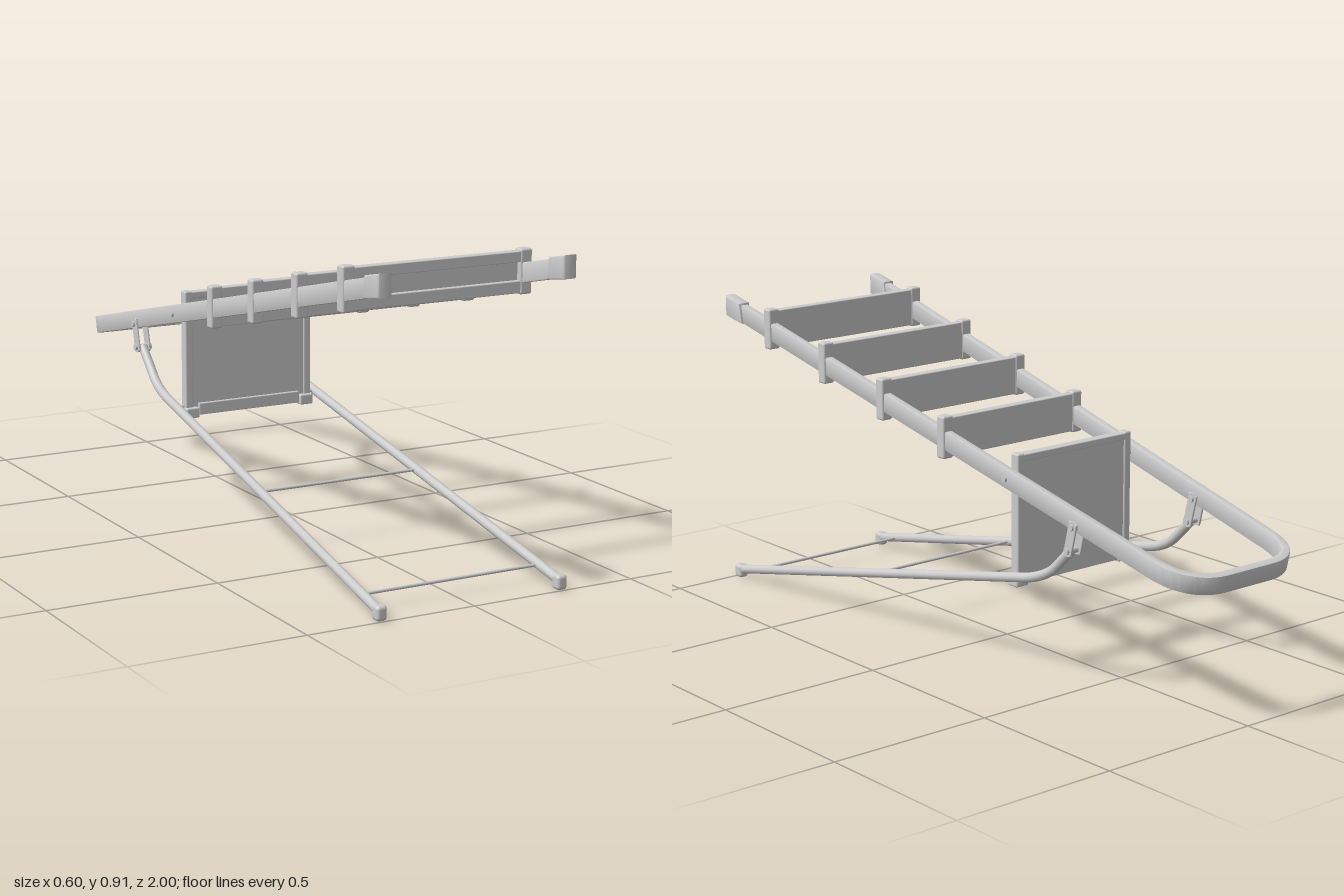
import * as THREE from 'three';
import { toCreasedNormals } from 'three/addons/utils/BufferGeometryUtils.js';
import { RoundedBoxGeometry } from 'three/addons/geometries/RoundedBoxGeometry.js';

const TILT = 0.2293; // slope of the main frame
const MID_Y = 0.645; // frame height at z = 0
const material = new THREE.MeshStandardMaterial({ color: 0xcccccc });
const railX = (z) => 0.2438 + 0.0362 * z;
const railY = (z) => MID_Y + z * Math.tan(TILT);

function add(parent, name, geometry, x = 0, y = 0, z = 0) {
  const mesh = new THREE.Mesh(geometry, material);
  mesh.name = name;
  mesh.position.set(x, y, z);
  parent.add(mesh);
  return mesh;
}

const box = (w, h, d, r = 0.003) => new RoundedBoxGeometry(w, h, d, 2, r);

// Cylinder lying along x
const pin = (radius, length) => new THREE.CylinderGeometry(radius, radius, length, 16).rotateZ(Math.PI / 2);

// Side profile of [z, y] points, extruded along x about its centre
function sideExtrude(points, width, bevel) {
  const shape = new THREE.Shape(points.map(([z, y]) => new THREE.Vector2(-z, y)));
  const geometry = new THREE.ExtrudeGeometry(shape, {
    depth: width - 2 * bevel, bevelSize: bevel, bevelThickness: bevel, bevelOffset: -bevel, bevelSegments: 2,
  });
  geometry.translate(0, 0, -width / 2 + bevel).rotateY(Math.PI / 2);
  return toCreasedNormals(geometry, 0.6);
}

// U-shaped rail: a centre line offset to both sides, extruded to the rail height
function railGeometry() {
  const half = 0.0135, height = 0.054, bevel = 0.004;
  const path = new THREE.CurvePath();
  const v = (x, y) => new THREE.Vector2(x, y);
  path.add(new THREE.LineCurve(v(0.279, 1.0), v(0.212, -0.87)));
  path.add(new THREE.CubicBezierCurve(v(0.212, -0.87), v(0.209, -0.955), v(0.165, -1.006), v(0.08, -1.006)));
  const right = path.getPoints(20);
  const centre = [...right, ...right.slice().reverse().map((p) => v(-p.x, p.y))]
    .filter((p, i, a) => i === 0 || p.distanceTo(a[i - 1]) > 1e-5);
  const offset = (d) => centre.map((p, i) => {
    const a = centre[Math.max(i - 1, 0)], b = centre[Math.min(i + 1, centre.length - 1)];
    const t = b.clone().sub(a).normalize();
    return v(p.x - t.y * d, p.y + t.x * d);
  });
  const shape = new THREE.Shape([...offset(half), ...offset(-half).reverse()]);
  const geometry = new THREE.ExtrudeGeometry(shape, {
    depth: height - 2 * bevel, bevelSize: bevel, bevelThickness: bevel, bevelOffset: -bevel, bevelSegments: 2,
  });
  geometry.translate(0, 0, -height / 2 + bevel).rotateX(Math.PI / 2);
  return toCreasedNormals(geometry, 0.6);
}

// Channel-shaped tread with a clamp around each rail
function createStep(z) {
  const step = new THREE.Group();
  step.name = 'step';
  step.position.set(0, railY(z) + 0.006, z);
  const x = railX(z), width = 2 * x - 0.02;
  add(step, 'treadPlate', box(width, 0.112, 0.014), 0, 0, -0.007);
  add(step, 'treadUpperLip', box(width, 0.03, 0.028), 0, 0.041, 0);
  add(step, 'treadLowerLip', box(width, 0.034, 0.028), 0, -0.041, 0);
  for (const side of [-1, 1]) add(step, 'stepClamp', box(0.037, 0.124, 0.033, 0.006), side * x, 0, 0);
  return step;
}

function createPlatform() {
  const platform = new THREE.Group();
  platform.name = 'platform';
  platform.position.z = -0.284;
  add(platform, 'platformPlate', box(0.39, 0.375, 0.022), 0, 0.454, 0);
  add(platform, 'platformLatch', box(0.34, 0.036, 0.012), 0, 0.285, 0.014);
  add(platform, 'platformFrontLip', box(0.4, 0.02, 0.03), 0, 0.632, 0);
  for (const side of [-1, 1]) {
    add(platform, 'platformEdge', box(0.025, 0.382, 0.03, 0.005), side * 0.2, 0.454, 0);
    add(platform, 'latchClip', box(0.044, 0.032, 0.04, 0.005), side * 0.193, 0.276, 0.006);
    add(platform, 'pivotPin', pin(0.008, 0.05), side * 0.228, railY(-0.284), 0);
  }
  return platform;
}

// Rear leg with its bend, foot and hinge; side is -1 or 1
function createRearLeg(side) {
  const leg = new THREE.Group();
  leg.name = 'rearLeg';
  const p = (x, y, z) => new THREE.Vector3(side * x, y, z);
  const path = new THREE.CurvePath();
  const a = p(0.279, 0.025, 0.985), b = p(0.234, 0.31, -0.36), c = p(0.225, 0.365, -0.475), d = p(0.225, 0.43, -0.54);
  path.add(new THREE.LineCurve3(a, b));
  path.add(new THREE.QuadraticBezierCurve3(b, p(0.23, 0.328, -0.435), c));
  path.add(new THREE.LineCurve3(c, d));
  add(leg, 'rearTube', new THREE.TubeGeometry(path, 80, 0.014, 12, false));
  add(leg, 'rearFoot', box(0.032, 0.042, 0.034, 0.01), side * 0.279, 0.022, 0.983);
  // Hinge plates on both faces of the rail, held by two bolts
  for (const x of [0.207, 0.241]) {
    const plate = add(leg, 'hingePlate', box(0.007, 0.1, 0.032, 0.003), side * x, 0.466, -0.552);
    plate.rotation.x = -0.24;
    for (const end of [-1, 1]) {
      add(leg, 'hingePlateEnd', pin(0.016, 0.007), side * x, 0.466 + end * 0.036, -0.552 - end * 0.009);
    }
  }
  add(leg, 'upperBolt', pin(0.009, 0.054), side * 0.224, 0.5, -0.56);
  add(leg, 'lowerBolt', pin(0.009, 0.054), side * 0.224, 0.43, -0.543);
  return leg;
}

export function createModel() {
  const model = new THREE.Group();
  model.name = 'stepLadder';

  // Main frame with its front feet
  const frame = add(model, 'mainRail', railGeometry(), 0, MID_Y, 0);
  frame.rotation.x = -TILT;
  const footProfile = [[1, 0.846], [1, 0.91], [0.925, 0.894], [0.915, 0.832]];
  for (const side of [-1, 1]) {
    const foot = add(model, 'frontFoot', sideExtrude(footProfile, 0.04, 0.006), side * 0.279);
    foot.rotation.y = 0;
  }

  // Steps and platform
  for (const z of [0.79, 0.525, 0.255, -0.015]) model.add(createStep(z));
  model.add(createPlatform());

  // Rear frame
  for (const side of [-1, 1]) model.add(createRearLeg(side));
  for (const [z, y, x] of [[0.89, 0.045, 0.275], [0.29, 0.174, 0.255], [-0.284, 0.295, 0.236]]) {
    add(model, 'crossRod', pin(0.0045, 2 * x), 0, y, z);
  }
  return model;
}
